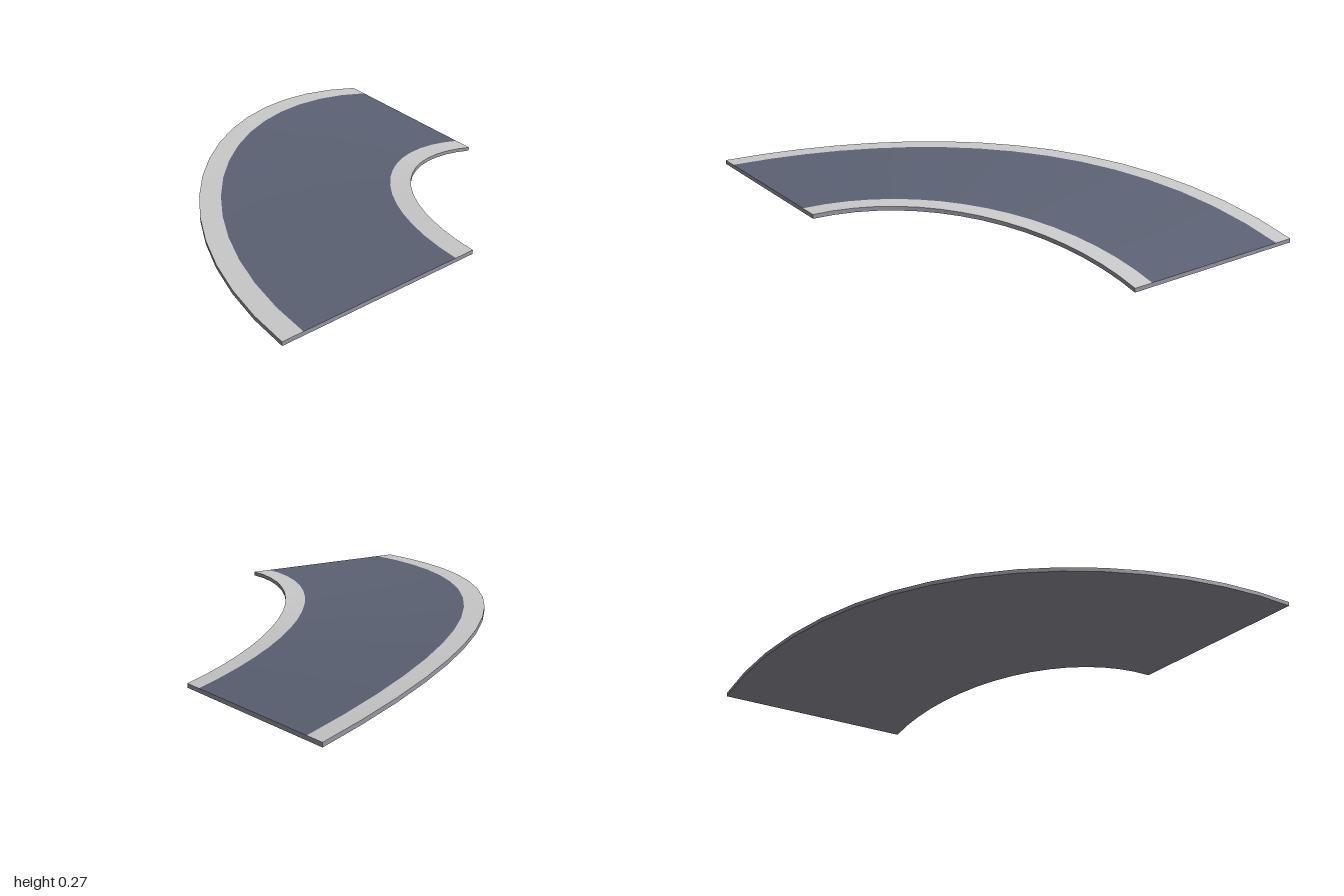
import * as THREE from 'three';

const STEPS = 16, RISE = 0.25, THICK = 0.02;

// Point on the ramp: radius 1 to 2 about the corner, i = step along the bend.
// The outer edge descends later than the inner one, so the bend is banked.
function point(r, i, lift) {
  const a = (i / STEPS) * Math.PI / 2, c = Math.cos(a), s = Math.sin(a);
  const inner = c, outer = 1 - (1 - c) ** 2;
  return [1 - r * c, RISE * (inner + (outer - inner) * (r - 1)) + lift, 1 - r * s];
}

// Ribbon between two rails, each given as [radius, lift]
function ribbon(name, a, b, material) {
  const pos = [], idx = [];
  for (let i = 0; i <= STEPS; i++) {
    pos.push(...point(a[0], i, a[1]), ...point(b[0], i, b[1]));
    if (i < STEPS) {
      const k = i * 2;
      idx.push(k, k + 2, k + 1, k + 1, k + 2, k + 3);
    }
  }
  return build(name, pos, idx, material);
}

// Flat end face, corners listed counter-clockwise
function endCap(name, i, corners, material) {
  const pos = corners.flatMap(([r, lift]) => point(r, i, lift));
  return build(name, pos, [0, 1, 2, 0, 2, 3], material);
}

function build(name, pos, idx, material) {
  const g = new THREE.BufferGeometry();
  g.setAttribute('position', new THREE.Float32BufferAttribute(pos, 3));
  g.setIndex(idx);
  g.computeVertexNormals();
  const mesh = new THREE.Mesh(g, material);
  mesh.name = name;
  return mesh;
}

function material(name, color) {
  const m = new THREE.MeshStandardMaterial({ color });
  m.name = name;
  return m;
}

export function createModel() {
  const road = material('slate road', 0x5b6173);
  const border = material('light border', 0xc8c8c8);
  const slab = material('grey slab', 0x9b99a5);

  const group = new THREE.Group();
  group.name = 'curvedRamp';
  const T = THICK;
  group.add(
    // Top surface
    ribbon('innerBorder', [1, T], [1.1, T], border),
    ribbon('roadSurface', [1.1, T], [1.9, T], road),
    ribbon('outerBorder', [1.9, T], [2, T], border),
    // Slab underneath
    ribbon('underside', [2, 0], [1, 0], slab),
    ribbon('outerSide', [2, T], [2, 0], slab),
    ribbon('innerSide', [1, 0], [1, T], slab),
    endCap('highEnd', 0, [[2, 0], [1, 0], [1, T], [2, T]], slab),
    endCap('lowEnd', STEPS, [[1, 0], [2, 0], [2, T], [1, T]], slab),
  );
  return group;
}
